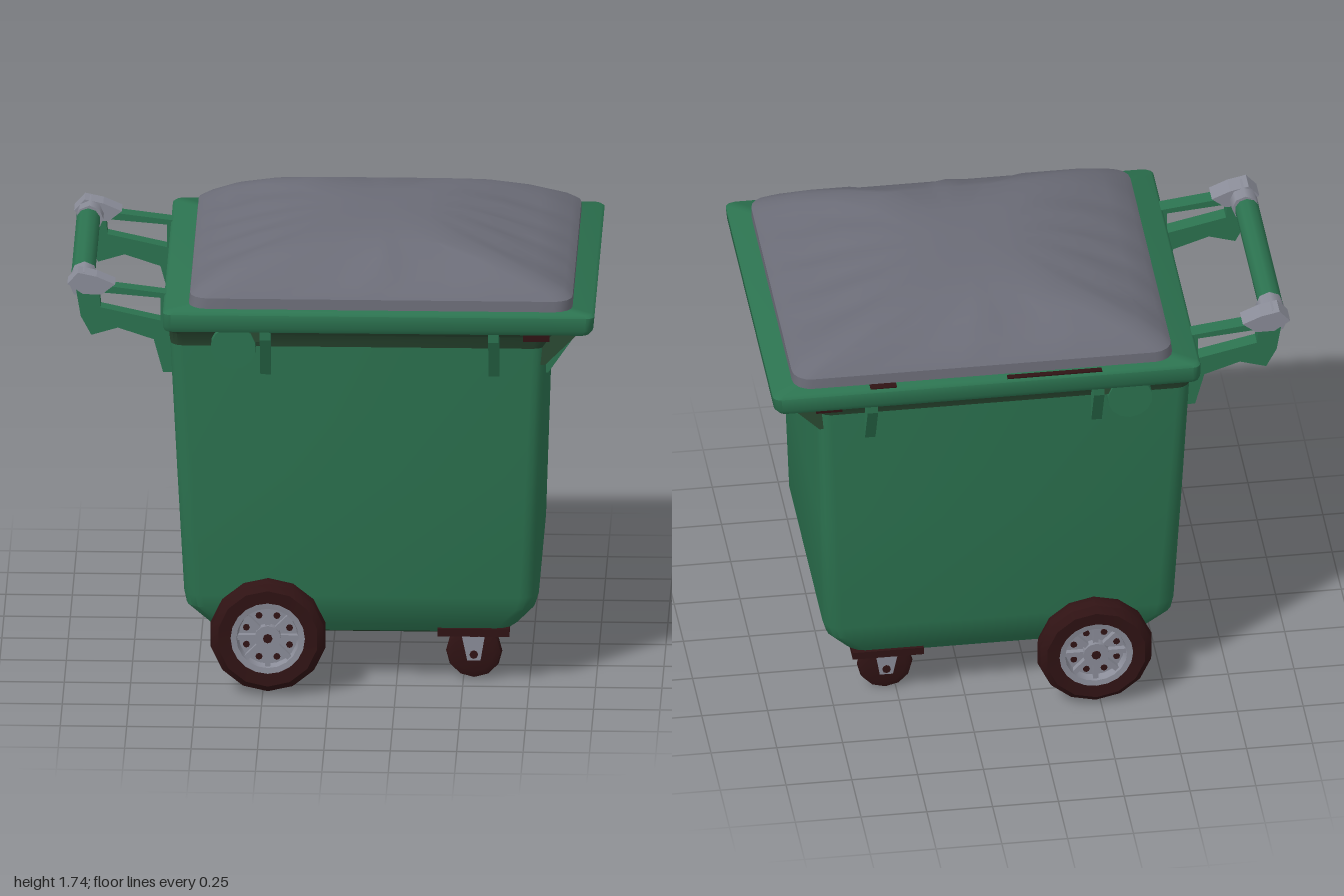
import * as THREE from 'three';
import { toCreasedNormals } from 'three/addons/utils/BufferGeometryUtils.js';

const mat = (name, color, side = THREE.FrontSide) => {
  const m = new THREE.MeshStandardMaterial({ color, side });
  m.name = name;
  return m;
};

// Closed loft through rounded rectangles: [y, xMin, xMax, zHalf, cornerRadius]
function loft(rings, { cuts = 1, crease = 0.6, bottom = true, top = true, rule = null } = {}) {
  const pos = [], idx = [];
  let n = 0;
  rings.forEach(([y, x0, x1, z, r]) => {
    const pts = [];
    const cx = [x1 - r, x0 + r, x0 + r, x1 - r], cz = [z - r, z - r, r - z, r - z];
    for (let c = 0; c < 4; c++) {
      for (let k = 0; k <= 4; k++) {
        const a = (c + k / 4) * Math.PI / 2;
        pts.push([cx[c] + r * Math.cos(a), cz[c] + r * Math.sin(a)]);
      }
      const [px, pz] = pts[pts.length - 1], d = (c + 1) % 4, a = (c + 1) * Math.PI / 2;
      const qx = cx[d] + r * Math.cos(a), qz = cz[d] + r * Math.sin(a);
      for (let k = 1; k < cuts; k++) pts.push([px + (qx - px) * k / cuts, pz + (qz - pz) * k / cuts]);
    }
    n = pts.length;
    for (const [px, pz] of pts) pos.push(px, y + (rule ? rule(px, y, pz) : 0), pz);
  });
  for (let i = 0; i < rings.length - 1; i++) {
    for (let j = 0; j < n; j++) {
      const a = i * n + j, b = i * n + (j + 1) % n;
      idx.push(a, a + n, b, b, a + n, b + n);
    }
  }
  const cap = (i, up) => {
    const [y, x0, x1] = rings[i], c = pos.length / 3;
    pos.push((x0 + x1) / 2, y, 0);
    for (let j = 0; j < n; j++) {
      const a = i * n + j, b = i * n + (j + 1) % n;
      idx.push(c, up ? b : a, up ? a : b);
    }
  };
  if (bottom) cap(0, false);
  if (top) cap(rings.length - 1, true);
  const g = new THREE.BufferGeometry();
  g.setAttribute('position', new THREE.Float32BufferAttribute(pos, 3));
  g.setIndex(idx);
  return toCreasedNormals(g, crease);
}

// Flat outline in x/y given thickness, centred on z = 0
function plate(points, depth, hole) {
  const s = new THREE.Shape(points.map(p => new THREE.Vector2(...p)));
  if (hole) s.holes.push(new THREE.Path(hole.map(p => new THREE.Vector2(...p))));
  return new THREE.ExtrudeGeometry(s, { depth, bevelEnabled: false }).translate(0, 0, -depth / 2);
}

// Turned shape whose axis lies along z
const turned = (points, sides) => toCreasedNormals(
  new THREE.LatheGeometry(points.map(p => new THREE.Vector2(...p)), sides).rotateX(Math.PI / 2), 0.6);
const disc = (r, depth, sides) => new THREE.CylinderGeometry(r, r, depth, sides).rotateX(Math.PI / 2);

export function createModel() {
  const green = mat('bin green', 0x2c7350);
  const shade = mat('dark olive green', 0x2b4a33);
  const lidGrey = mat('lid grey', 0x6b6c77);
  const metal = mat('metal grey', 0x8b8d99);
  const rubber = mat('dark maroon rubber', 0x301314);

  const model = new THREE.Group();
  const add = (name, geo, m, x = 0, y = 0, z = 0, parent = model) => {
    const mesh = new THREE.Mesh(geo, m);
    mesh.name = name;
    mesh.position.set(x, y, z);
    parent.add(mesh);
    return mesh;
  };

  // Tapered tub, its underside and the dark band beneath the rim
  add('body', loft([
    [0.21, -0.44, 0.67, 0.47, 0.06], [0.24, -0.47, 0.71, 0.485, 0.07], [0.31, -0.54, 0.77, 0.515, 0.07],
    [0.36, -0.55, 0.785, 0.52, 0.07], [0.85, -0.575, 0.8, 0.545, 0.06], [1.37, -0.6, 0.815, 0.565, 0.05],
  ], { bottom: false, top: false }), green);
  add('underside', loft([[0.2, -0.42, 0.65, 0.45, 0.06], [0.21, -0.44, 0.67, 0.47, 0.06]]), shade);
  add('underRimBand', loft([
    [1.37, -0.6, 0.815, 0.565, 0.05], [1.42, -0.605, 0.84, 0.58, 0.05], [1.46, -0.61, 0.92, 0.62, 0.04],
  ], { bottom: false, top: false }), shade);

  // Overhanging rim
  add('rim', loft([
    [1.455, -0.605, 0.9, 0.61, 0.03], [1.455, -0.62, 0.98, 0.655, 0.03], [1.475, -0.625, 0.995, 0.665, 0.03],
    [1.525, -0.625, 1.0, 0.665, 0.03], [1.535, -0.615, 0.99, 0.655, 0.03],
  ], { crease: 0.8 }), green);

  // Domed lid with shallow sunken panels along both sides and ends
  const within = (v, spans) => spans.some(([a, b]) => v > a && v < b);
  add('lid', loft([
    [1.53, -0.53, 0.915, 0.62, 0.07], [1.575, -0.525, 0.915, 0.615, 0.07], [1.6, -0.495, 0.885, 0.59, 0.08],
    [1.645, -0.41, 0.77, 0.535, 0.08], [1.69, -0.28, 0.63, 0.455, 0.08], [1.722, -0.13, 0.48, 0.37, 0.08],
    [1.737, 0, 0.36, 0.2, 0.08], [1.742, 0.1, 0.25, 0.08, 0.05],
  ], {
    cuts: 14, crease: 0.55,
    rule: (x, y, z) => {
      if (y < 1.62 || y > 1.7) return 0;
      const side = Math.abs(z) > 0.44 && within(x, [[-0.07, 0.17], [0.24, 0.52]]);
      const end = Math.abs(z) < 0.4 && within(Math.abs(z), [[0.05, 0.16], [0.22, 0.34]]);
      return side || end ? -0.014 : 0;
    },
  }), lidGrey);

  // Gussets under the rim, mirrored on the long sides
  const gusset = (reach, drop) => plate([[-0.03, 0], [reach, 0], [reach, -0.04], [0.01, -drop], [-0.03, -drop]], 0.04);
  for (const s of [1, -1]) {
    for (const x of [-0.24, 0.62]) {
      add('sideGusset', gusset(0.085, 0.2), green, x, 1.46, s * 0.56).rotation.y = -s * Math.PI / 2;
    }
    add('sideBoss', disc(0.085, 0.08, 14), green, -0.36, 1.385, s * 0.59);
    add('sideBossLink', new THREE.BoxGeometry(0.13, 0.05, 0.06), shade, -0.3, 1.43, s * 0.59);
    add('endGusset', gusset(0.14, 0.23), green, 0.81, 1.46, s * 0.41);
    add('cornerGusset', gusset(0.13, 0.16), shade, 0.8, 1.46, s * 0.53);
    add('endSlot', new THREE.BoxGeometry(0.008, 0.04, 0.07), rubber, 0.905, 1.435, s * 0.49);
    add('sideSlot', new THREE.BoxGeometry(0.1, 0.035, 0.008), rubber, 0.78, 1.43, s * 0.605);
  }
  for (const z of [-0.2, 0, 0.2]) add('endRib', gusset(0.13, 0.11), shade, 0.81, 1.46, z);
  add('rimSlot', new THREE.BoxGeometry(0.36, 0.008, 0.022), rubber, -0.07, 1.535, -0.645);
  add('rimSlot', new THREE.BoxGeometry(0.1, 0.008, 0.03), rubber, 0.58, 1.535, -0.64);

  // Push handle: two open side arms, a cross bar and grey corner caps
  for (const z of [-0.43, 0.41]) {
    add('handleArm', plate([
      [-0.96, 1.56], [-0.94, 1.44], [-0.9, 1.365], [-0.8, 1.395], [-0.665, 1.35], [-0.63, 1.22],
      [-0.58, 1.22], [-0.6, 1.53], [-0.84, 1.56], [-0.9, 1.6],
    ], 0.06, [[-0.87, 1.535], [-0.64, 1.515], [-0.64, 1.425], [-0.865, 1.475]]), green, 0, 0, z);
    add('handleCap', plate([
      [-0.99, 1.57], [-0.93, 1.53], [-0.86, 1.53], [-0.81, 1.57], [-0.88, 1.6], [-0.95, 1.615],
    ], 0.08), metal, 0, 0, z);
    add('handleElbow', disc(0.052, 0.12, 8), metal, -0.93, 1.56, z - Math.sign(z) * 0.04);
  }
  add('handleBar', disc(0.046, 0.68, 10), green, -0.935, 1.555, -0.01);

  // Large rear wheels with spoked hubs
  const tyre = turned([[0.135, -0.045], [0.19, -0.05], [0.215, -0.03], [0.222, 0], [0.215, 0.03],
    [0.19, 0.05], [0.135, 0.045], [0.13, 0], [0.135, -0.045]], 14);
  const hubRim = turned([[0.11, 0.01], [0.118, 0.044], [0.14, 0.047]].reverse(), 20);
  for (const s of [1, -1]) {
    const wheel = new THREE.Group();
    wheel.name = 'rearWheel';
    wheel.position.set(-0.23, 0.23, s * 0.59);
    if (s < 0) wheel.rotation.y = Math.PI;
    model.add(wheel);
    add('tyre', tyre, rubber, 0, 0, 0, wheel);
    add('hubRim', hubRim, metal, 0, 0, 0, wheel);
    add('hubDisc', disc(0.132, 0.05, 20), metal, 0, 0, -0.012, wheel);
    add('hubBoss', disc(0.05, 0.05, 12), metal, 0, 0, 0.02, wheel);
    add('hubCap', disc(0.018, 0.006, 8), rubber, 0, 0, 0.047, wheel);
    for (let i = 0; i < 8; i++) {
      const a = i * Math.PI / 4, b = a + Math.PI / 8;
      const spoke = add('spoke', new THREE.BoxGeometry(0.08, 0.02, 0.024), metal,
        0.08 * Math.cos(a), 0.08 * Math.sin(a), 0.022, wheel);
      spoke.rotation.z = a;
      add('hubHole', disc(0.013, 0.004, 8), rubber, 0.088 * Math.cos(b), 0.088 * Math.sin(b), 0.015, wheel);
    }
    add('axleBlock', new THREE.BoxGeometry(0.1, 0.07, 0.1), rubber, -0.23, 0.225, s * 0.49);
  }
  add('axle', disc(0.025, 1.1, 8), rubber, -0.23, 0.21, 0);

  // Small swivel casters
  const casterTyre = turned([[0, -0.02], [0.075, -0.03], [0.1, -0.02], [0.106, 0], [0.1, 0.02],
    [0.075, 0.03], [0, 0.02]], 12);
  for (const s of [1, -1]) {
    const caster = new THREE.Group();
    caster.name = 'caster';
    caster.position.set(0.54, 0.107, s * 0.39);
    model.add(caster);
    add('casterTyre', casterTyre, rubber, 0, 0, 0, caster);
    add('casterPlate', new THREE.BoxGeometry(0.27, 0.03, 0.2), rubber, 0, 0.103, 0, caster);
    add('swivel', new THREE.CylinderGeometry(0.05, 0.06, 0.03, 10), rubber, 0, 0.087, 0, caster);
    for (const t of [1, -1]) {
      add('forkLeg', plate([[-0.05, 0.095], [-0.025, -0.025], [0.025, -0.025], [0.045, 0.095]], 0.012),
        metal, 0, 0, t * 0.043, caster);
      add('casterBolt', disc(0.016, 0.008, 8), rubber, 0, 0, t * 0.051, caster);
    }
  }
  return model;
}
